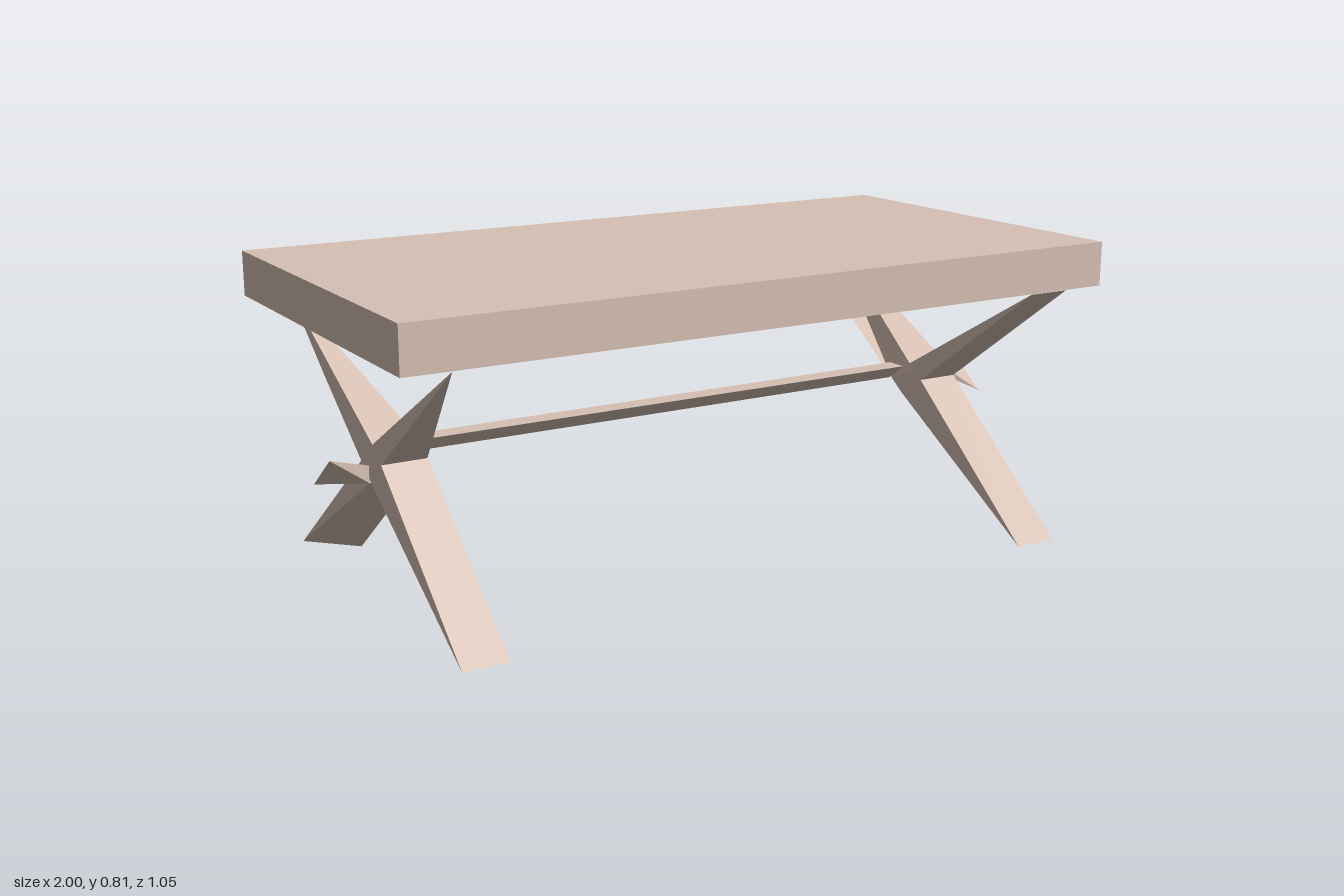
import * as THREE from 'three';

const wood = new THREE.MeshStandardMaterial({ color: 0xd6c0b3 });
wood.name = 'pale wood';

const OUT = 0.88, IN = 0.76; // outer and inner faces of each trestle

// Mesh with flat faces from a list of triangles, each three [x, y, z] corners
function facets(name, tris) {
  const g = new THREE.BufferGeometry();
  g.setAttribute('position', new THREE.Float32BufferAttribute(tris.flat(2), 3));
  g.computeVertexNormals();
  const m = new THREE.Mesh(g, wood);
  m.name = name;
  return m;
}

const quad = (a, b, c, d) => [[a, b, c], [a, c, d]];

// Solid between an outer and an inner side outline of [z, y, x?] points;
// both outlines run clockwise in (z, y). side is +1 for left, -1 for right.
function beam(name, side, outer, inner) {
  const at = (p, x) => [(p[2] ?? x) * side, p[1], p[0]];
  const o = outer.map((p) => at(p, OUT));
  const i = inner.map((p) => at(p, IN));
  const tris = [];
  const flat = outer.map((p) => new THREE.Vector2(p[0], p[1]));
  for (const [a, b, c] of THREE.ShapeUtils.triangulateShape(flat, [])) {
    const cw = THREE.ShapeUtils.isClockWise([flat[a], flat[b], flat[c]]);
    const [p, q, r] = cw ? [a, b, c] : [a, c, b];
    tris.push([o[p], o[q], o[r]], [i[p], i[r], i[q]]);
  }
  outer.forEach((_, k) => {
    const n = (k + 1) % outer.length;
    tris.push(...quad(o[k], i[k], i[n], o[n]));
  });
  return facets(name, side > 0 ? tris : tris.map(([a, b, c]) => [a, c, b]));
}

// Closed four-cornered wedge, faces turned outwards
function wedge(name, p) {
  const v = p.map((q) => new THREE.Vector3(...q));
  const mid = v.reduce((s, q) => s.add(q), new THREE.Vector3()).multiplyScalar(0.25);
  const tris = [[0, 1, 2], [0, 1, 3], [0, 2, 3], [1, 2, 3]].map(([a, b, c]) => {
    const n = v[b].clone().sub(v[a]).cross(v[c].clone().sub(v[a]));
    return n.dot(v[a].clone().sub(mid)) > 0 ? [p[a], p[b], p[c]] : [p[a], p[c], p[b]];
  });
  return facets(name, tris);
}

export function createModel() {
  const model = new THREE.Group();
  model.name = 'trestleTable';

  // Table top
  const top = new THREE.Mesh(new THREE.BoxGeometry(2, 0.118, 1.046), wood);
  top.name = 'tableTop';
  top.position.y = 0.754;
  model.add(top);

  // Crossed trestles
  for (const side of [1, -1]) {
    const trestle = new THREE.Group();
    trestle.name = side > 0 ? 'leftTrestle' : 'rightTrestle';

    // Long leg from the front foot to a pointed tip at the upper back;
    // the right one narrows sooner
    const leg = (tipX, kinkX) => [[0.523, 0], [0, 0.315], [-0.05, 0.35], [-0.29, 0.52, kinkX],
      [-0.523, 0.694, tipX], [0.03, 0.41], [0.06, 0.39]];
    trestle.add(beam('longLeg', side, leg(OUT, OUT), leg(OUT, side > 0 ? IN : 0.815)));

    // Upper front arm, pointed on the right trestle
    const arm = (tipX) => [[0.523, 0.694, tipX], [0.08, 0.37], [0.03, 0.41]];
    trestle.add(beam('upperFrontArm', side, arm(OUT), arm(side > 0 ? IN : OUT)));

    // Back foot: a thin upper sheet on the left, a twisted wedge on the right
    if (side > 0) {
      trestle.add(facets('backFoot', quad([IN, 0.35, -0.05], [OUT, 0.35, -0.05],
        [OUT, 0, -0.523], [IN, 0, -0.523])));
    } else {
      const foot = (z) => [[0, 0.305], [z, 0], [-0.05, 0.35]];
      trestle.add(beam('backFoot', side, foot(-0.523), foot(-0.4)));
    }
    model.add(trestle);
  }

  // Three-sided stretcher bar: sloping front, upright back, level top
  const bar = [[0.395, 0], [0.35, -0.06], [0.395, -0.06]];
  model.add(facets('stretcher', bar.flatMap((p, k) => {
    const n = bar[(k + 1) % 3];
    return quad([-IN, ...p], [-IN, ...n], [IN, ...n], [IN, ...p]);
  })));

  // Stretcher ends beyond the trestles
  model.add(wedge('leftStretcherEnd',
    [[OUT, 0.395, 0], [OUT, 0.365, 0], [1, 0.39, -0.06], [1, 0.305, 0.06]]));
  model.add(wedge('rightStretcherEnd',
    [[-OUT, 0.35, 0], [-OUT, 0.305, 0], [-1, 0.395, 0.06], [-1, 0.305, -0.06]]));

  return model;
}
